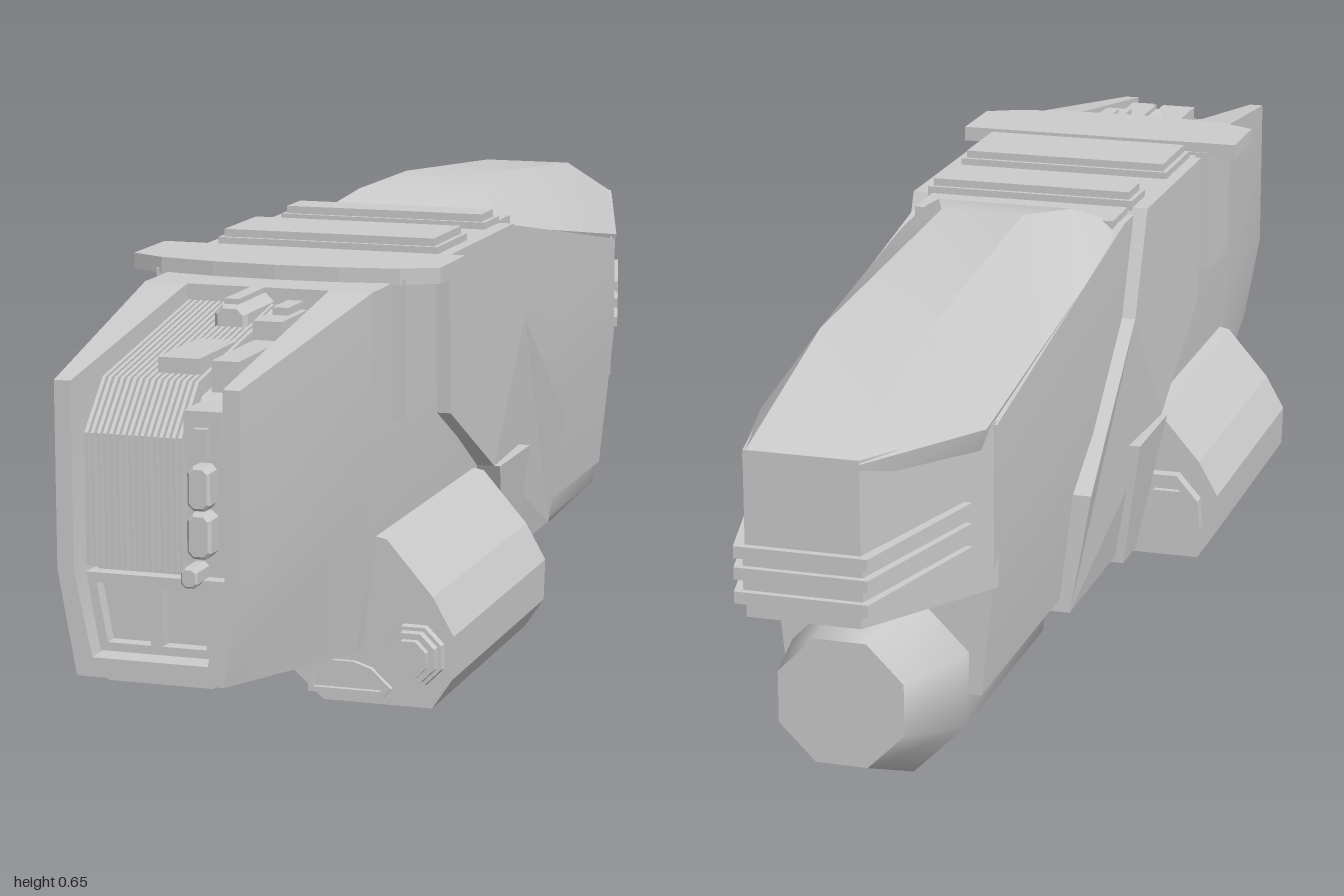
import * as THREE from 'three';
import { toCreasedNormals } from 'three/addons/utils/BufferGeometryUtils.js';

const material = new THREE.MeshStandardMaterial({ color: 0xcccccc });

// Right half (top to bottom) -> closed counter-clockwise outline
const ring = (half) => [...half.map(([x, y]) => [-x, y]), ...[...half].reverse()];
const makeShape = (pts) => new THREE.Shape(pts.map(([x, y]) => new THREE.Vector2(x, y)));

// Skin between outlines ordered from front to back: [z, points]
function loft(sections, crease = 0.4) {
  const pos = [];
  const put = ([z, pts], j) => pos.push(pts[j][0], pts[j][1], z);
  const n = sections[0][1].length;
  for (let i = 0; i < sections.length - 1; i++) {
    const s = sections[i], t = sections[i + 1];
    for (let j = 0; j < n; j++) {
      const k = (j + 1) % n;
      put(s, j); put(t, j); put(t, k);
      put(s, j); put(t, k); put(s, k);
    }
  }
  const cap = (s, flip) => {
    const contour = s[1].map(([x, y]) => new THREE.Vector2(x, y));
    for (const [a, b, c] of THREE.ShapeUtils.triangulateShape(contour, [])) {
      (flip ? [c, b, a] : [a, b, c]).forEach((j) => put(s, j));
    }
  };
  cap(sections[0], false);
  cap(sections[sections.length - 1], true);
  const g = new THREE.BufferGeometry();
  g.setAttribute('position', new THREE.Float32BufferAttribute(pos, 3));
  return toCreasedNormals(g, crease);
}

// Outline in (x, y) extruded from z0 to z1
function frontExtrude(pts, z0, z1, holes = [], bevel = 0) {
  const s = makeShape(pts);
  holes.forEach((h) => s.holes.push(new THREE.Path(makeShape(h).getPoints())));
  return new THREE.ExtrudeGeometry(s, {
    depth: z1 - z0, bevelEnabled: bevel > 0, bevelSize: bevel, bevelThickness: bevel,
    bevelOffset: -bevel, bevelSegments: 1,
  }).translate(0, 0, z0);
}

// Outline in (z, y) extruded across x; narrows to lowHalf at yLow below yBend
function sideExtrude(pts, half, lowHalf = half, yBend = 0.265, yLow = 0.09) {
  const g = new THREE.ExtrudeGeometry(makeShape(pts), { depth: 2 * half, bevelEnabled: false });
  g.translate(0, 0, -half).rotateY(-Math.PI / 2);
  const p = g.attributes.position;
  for (let i = 0; i < p.count; i++) {
    const t = THREE.MathUtils.clamp((yBend - p.getY(i)) / (yBend - yLow), 0, 1);
    p.setX(i, p.getX(i) * THREE.MathUtils.lerp(1, lowHalf / half, t));
  }
  g.computeVertexNormals();
  return g;
}

// Outline in (x, z) extruded from y0 up to y1
const planExtrude = (pts, y0, y1) =>
  new THREE.ExtrudeGeometry(makeShape(pts), { depth: y1 - y0, bevelEnabled: false })
    .rotateX(Math.PI / 2).translate(0, y1, 0);

const box = (w, h, d, x, y, z) => new THREE.BoxGeometry(w, h, d).translate(x, y, z);

// Upright plate with clipped corners
const plate = (w, h, x, y, z0, z1) => {
  const a = w / 2, b = h / 2, c = w * 0.25;
  const pts = [[a, b - c], [a - c, b], [c - a, b], [-a, b - c], [-a, c - b], [c - a, -b], [a - c, -b], [a, c - b]];
  return frontExtrude(pts.map(([u, v]) => [u + x, v + y]), z0, z1, [], w * 0.12);
};

export function createModel() {
  const model = new THREE.Group();
  const add = (name, geometry, parent = model) => {
    const m = new THREE.Mesh(geometry, material);
    m.name = name;
    parent.add(m);
    return m;
  };
  const group = (name) => {
    const g = new THREE.Group();
    g.name = name;
    model.add(g);
    return g;
  };

  // Main hull
  const hullRing = (top) => ring([[0.16, top], [0.16, 0.33], [0.137, 0.11]]);
  add('mainHull', loft([[0.6, hullRing(0.6)], [-0.06, hullRing(0.6)], [-0.69, hullRing(0.49)]]));

  // Open nose shell with a U-shaped section
  const noseRing = (outer, inner) => [...ring(outer), ...ring(inner).reverse()];
  add('noseShell', loft([
    [1, noseRing([[0.122, 0.54], [0.122, 0.3], [0.098, 0.165]], [[0.1, 0.54], [0.1, 0.3], [0.077, 0.19]])],
    [0.6, noseRing([[0.16, 0.6], [0.16, 0.33], [0.137, 0.11]], [[0.1, 0.6], [0.1, 0.3], [0.077, 0.19]])],
  ]));

  // Machinery bay inside the nose
  const bay = group('noseBay');
  add('bayCore', sideExtrude(
    [[0.59, 0.18], [0.955, 0.18], [0.955, 0.46], [0.9, 0.51], [0.62, 0.555], [0.59, 0.555]],
    0.1, 0.075, 0.3, 0.18), bay);
  const ribPath = [[0.95, 0.3], [0.972, 0.3], [0.972, 0.47], [0.91, 0.53], [0.61, 0.58], [0.61, 0.55], [0.9, 0.505], [0.95, 0.455]];
  for (let i = 0; i < 16; i++) {
    add('rib', sideExtrude(ribPath, 0.0024).translate(-0.092 + i * 0.0083, 0, 0), bay);
  }
  add('windowFrame', frontExtrude(
    ring([[0.094, 0.293], [0.076, 0.193]]), 0.95, 0.975,
    [1, -1].map((s) => [[s * 0.008, 0.28], [s * 0.008, 0.204], [s * 0.066, 0.204], [s * 0.08, 0.28]])), bay);
  add('upperHatch', plate(0.03, 0.056, 0.06, 0.41, 0.95, 0.98), bay);
  add('lowerHatch', plate(0.032, 0.058, 0.06, 0.35, 0.95, 0.98), bay);
  add('latch', plate(0.022, 0.026, 0.052, 0.3, 0.95, 0.995), bay);
  add('bracketBlock', box(0.05, 0.055, 0.08, 0.062, 0.478, 0.93), bay);
  add('bracketSlot', box(0.018, 0.04, 0.09, 0.062, 0.465, 0.935), bay);
  add('sideConduit', box(0.036, 0.04, 0.25, 0.064, 0.535, 0.77), bay);
  add('sideConduitCover', box(0.04, 0.03, 0.1, 0.064, 0.565, 0.69), bay);
  add('sideConduitCap', box(0.022, 0.02, 0.06, 0.064, 0.58, 0.66), bay);
  add('centreRail', box(0.055, 0.02, 0.28, 0.0, 0.545, 0.75), bay);
  add('centreMount', plate(0.046, 0.046, 0, 0.57, 0.6, 0.7), bay);
  add('centreMountCap', box(0.02, 0.02, 0.1, 0, 0.59, 0.65), bay);

  // Middle armour band with its stepped edges
  add('middleArmour', sideExtrude(
    [[0.32, 0.61], [0.31, 0.385], [0.09, 0.265], [0.005, 0.09], [-0.315, 0.09], [-0.305, 0.265],
      [-0.07, 0.46], [-0.005, 0.61]].reverse(), 0.18, 0.152));
  add('podBracket', sideExtrude([[0.09, 0.265], [-0.07, 0.265], [-0.07, 0.08], [0, 0.08]], 0.189, 0.165, 0.265, 0.08));
  add('roofSpine', box(0.3, 0.02, 0.12, 0, 0.6, -0.03));
  for (const [z, depth, w] of [[0.245, 0.13, 0.31], [0.03, 0.06, 0.3]]) {
    add('roofPanelBase', box(w + 0.014, 0.02, depth + 0.014, 0, 0.61, z));
    add('roofPanel', box(w, 0.03, depth, 0, 0.616, z));
  }

  // Roof wing and its side supports
  add('roofWing', planExtrude(
    [[-0.22, 0.375], [0.22, 0.375], [0.22, 0.49], [0.17, 0.515], [0.09, 0.529], [0, 0.534],
      [-0.09, 0.529], [-0.17, 0.515], [-0.22, 0.49]], 0.598, 0.62));
  add('wingSupports', box(0.356, 0.19, 0.14, 0, 0.51, 0.443));

  // Rear canopy: [z, edge x, edge y, ridge x, ridge y]
  add('rearCanopy', loft([
    [-0.06, 0.16, 0.59, 0.15, 0.6], [-0.13, 0.16, 0.585, 0.1, 0.635], [-0.24, 0.16, 0.568, 0.06, 0.65],
    [-0.72, 0.155, 0.493, 0.07, 0.61], [-0.99, 0.077, 0.525, 0.072, 0.53],
  ].map(([z, ex, ey, tx, ty]) => [z, ring([[tx, ty], [ex, ey], [ex * 0.95, ey - 0.03]])]), 0.45));

  // Tapered tail and wrap-around grille
  add('tail', loft([
    [-0.68, ring([[0.158, 0.492], [0.158, 0.262]])],
    [-0.99, ring([[0.076, 0.53], [0.076, 0.31]])],
  ]));
  const grille = group('tailGrille');
  const slat = (grow, y0, y1) => add('slat', planExtrude(
    [[-0.136 - grow, -0.76], [-0.076 - grow, -0.988 - grow], [0.076 + grow, -0.988 - grow], [0.136 + grow, -0.76]], y0, y1), grille);
  slat(0.003, 0.328, 0.406);
  for (const y of [0.33, 0.362, 0.39]) slat(0.012, y, y + 0.016);

  // Rear thruster with a tapered octagonal nozzle
  const octagon = (r, cy) => Array.from({ length: 8 }, (_, i) => {
    const a = (i + 0.5) * Math.PI / 4, R = r / Math.cos(Math.PI / 8);
    return [R * Math.cos(a), cy + R * Math.sin(a)];
  });
  add('thruster', loft([[-0.34, octagon(0.12, 0.12)], [-0.715, octagon(0.12, 0.12)], [-0.86, octagon(0.086, 0.15)]], 0.85));
  add('thrusterMount', box(0.2, 0.1, 0.3, 0, 0.18, -0.53));

  // Side pods, built for +x and mirrored by sign
  for (const s of [1, -1]) {
    const pod = group(s > 0 ? 'leftPod' : 'rightPod');
    const flip = (pts) => pts.map(([x, y]) => [s * x, y]);
    add('podBody', frontExtrude(flip(
      [[0, 0.2], [0.155, 0.265], [0.17, 0.262], [0.235, 0.187], [0.264, 0.135], [0.262, 0.075],
        [0.234, 0.033], [0.08, 0.033], [0, 0.105]]), 0.11, 0.57), pod);
    // Stepped octagonal lamp
    for (const [r, z] of [[0.046, 0.58], [0.039, 0.592], [0.029, 0.602]]) {
      add('lamp', new THREE.CylinderGeometry(r * 0.93, r, z - 0.56, 8).toNonIndexed()
        .rotateY(Math.PI / 8).rotateX(Math.PI / 2).translate(s * 0.21, 0.107, (z + 0.56) / 2), pod)
        .geometry.computeVertexNormals();
    }
    // Front vent frame
    add('frontVent', frontExtrude(
      flip([[0.06, 0.045], [0.168, 0.045], [0.178, 0.057], [0.15, 0.083], [0.125, 0.091], [0.06, 0.091]]), 0.565, 0.578,
      [flip([[0.068, 0.052], [0.163, 0.052], [0.168, 0.059], [0.144, 0.078], [0.123, 0.084], [0.068, 0.084]])]), pod);
    // Rear exhaust frame and inner plate
    add('rearExhaust', frontExtrude(
      flip([[0.14, 0.06], [0.225, 0.06], [0.242, 0.085], [0.238, 0.13], [0.205, 0.168], [0.14, 0.168]]), 0.09, 0.115,
      [flip([[0.152, 0.072], [0.219, 0.072], [0.23, 0.089], [0.227, 0.125], [0.2, 0.156], [0.152, 0.156]])]), pod);
    add('exhaustPlate', box(0.045, 0.055, 0.02, s * 0.188, 0.112, 0.11), pod);
  }
  return model;
}
